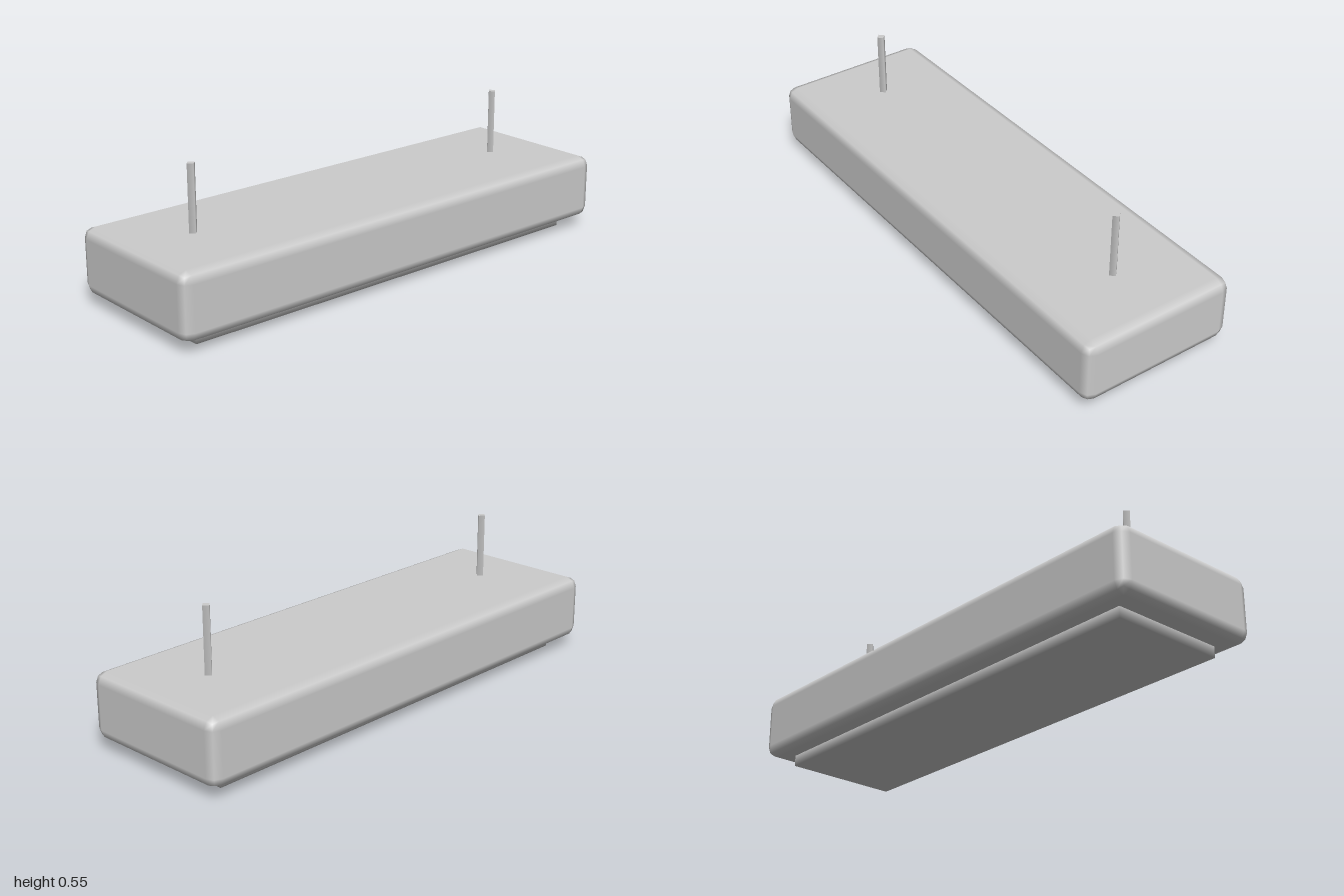
import * as THREE from 'three';
import { mergeVertices } from 'three/addons/utils/BufferGeometryUtils.js';
import { RoundedBoxGeometry } from 'three/addons/geometries/RoundedBoxGeometry.js';

// Share corner vertices so the normals run smoothly over every edge
function smooth(geometry) {
  geometry.deleteAttribute('normal');
  geometry.deleteAttribute('uv');
  geometry.clearGroups();
  const merged = mergeVertices(geometry);
  merged.computeVertexNormals();
  return merged;
}

export function createModel() {
  const model = new THREE.Group();
  model.name = 'hangingLamp';

  const grey = new THREE.MeshStandardMaterial({ color: 0xcccccc });
  grey.name = 'light grey';

  function add(name, geometry, x, y, z) {
    const mesh = new THREE.Mesh(geometry, grey);
    mesh.name = name;
    mesh.position.set(x, y, z);
    model.add(mesh);
  }

  // Long housing with bevelled edges
  add('housing', new RoundedBoxGeometry(2, 0.253, 0.63, 1, 0.041), 0, 0.1695, 0);

  // Shallow light panel below the housing
  add('lightPanel', smooth(new THREE.BoxGeometry(1.8, 0.06, 0.464)), 0, 0.03, 0);

  // Two four-sided hanging rods
  for (const [name, side] of [['rightRod', -1], ['leftRod', 1]]) {
    add(name, new THREE.CylinderGeometry(0.017, 0.017, 0.27, 4), side * 0.737, 0.415, 0);
  }

  return model;
}
